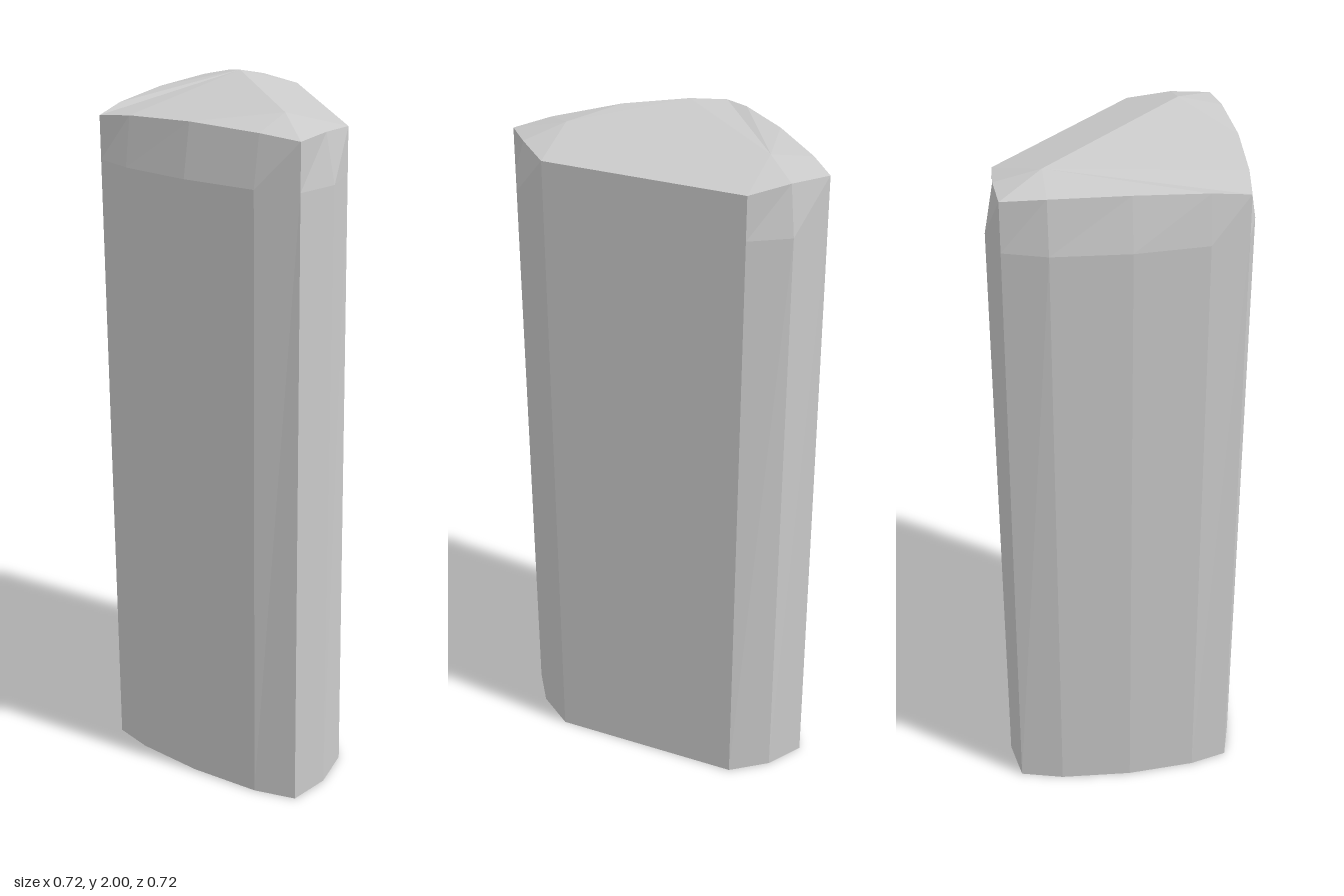
import * as THREE from 'three';

// Base outline [x, z], clockwise seen from above
const OUTER = [
  [-0.32, -0.335], [-0.2, -0.36], [-0.07, -0.34], [0.335, 0.065], [0.357, 0.195],
  [0.332, 0.317], [0.21, 0.348], [0, 0.357], [-0.2, 0.34], [-0.313, 0.31],
  [-0.343, 0.2], [-0.36, 0], [-0.35, -0.21],
];
// Rim of the domed top [x, y, z], one point per outline point
const RIM = [
  [-0.313, 1.97, -0.327], [-0.2, 1.97, -0.335], [-0.08, 1.955, -0.33], [0.325, 1.955, 0.075],
  [0.333, 1.965, 0.2], [0.325, 1.96, 0.31], [0.21, 1.97, 0.323], [0, 1.975, 0.328],
  [-0.2, 1.965, 0.318], [-0.31, 1.95, 0.305], [-0.322, 1.965, 0.2], [-0.33, 1.975, 0],
  [-0.325, 1.975, -0.21],
];
const CORNERS = [0, 2, 3, 5, 9];
const SHOULDER = 1.83;

// Flat-shaded mesh from a list of triangles
function facetMesh(name, triangles) {
  const geometry = new THREE.BufferGeometry();
  geometry.setAttribute('position', new THREE.Float32BufferAttribute(triangles.flat(2), 3));
  geometry.computeVertexNormals();
  const mesh = new THREE.Mesh(geometry, new THREE.MeshStandardMaterial({ color: 0xcccccc, flatShading: true }));
  mesh.name = name;
  return mesh;
}

// Wall of quads between two rings
function band(low, high) {
  return low.flatMap((a, i) => {
    const j = (i + 1) % low.length;
    return [[low[j], a, high[i]], [low[j], high[i], high[j]]];
  });
}

export function createModel() {
  const group = new THREE.Group();
  group.name = 'cornerPillar';
  const base = OUTER.map(([x, z]) => [x, 0, z]);

  // Sharp corners run straight up to the rim; other points bulge until the shoulder
  const shoulder = OUTER.map(([x, z], i) => {
    const t = CORNERS.includes(i) ? SHOULDER / RIM[i][1] : 0;
    return [x + (RIM[i][0] - x) * t, SHOULDER, z + (RIM[i][2] - z) * t];
  });

  group.add(facetMesh('shaft', band(base, shoulder)));
  group.add(facetMesh('shoulder', band(shoulder, RIM)));

  // Top: two fans around the ends of a diagonal ridge
  const back = [-0.2, 2, -0.21], front = [0.21, 2, 0.2];
  const top = RIM.map((p, i) => [RIM[(i + 1) % RIM.length], p, i >= 3 && i < 8 ? front : back]);
  top.push([front, RIM[3], back], [RIM[8], front, back]);
  group.add(facetMesh('top', top));

  // Flat underside
  const under = base.map((p, i) => [p, base[(i + 1) % base.length], [0, 0, 0]]);
  group.add(facetMesh('underside', under));
  return group;
}
